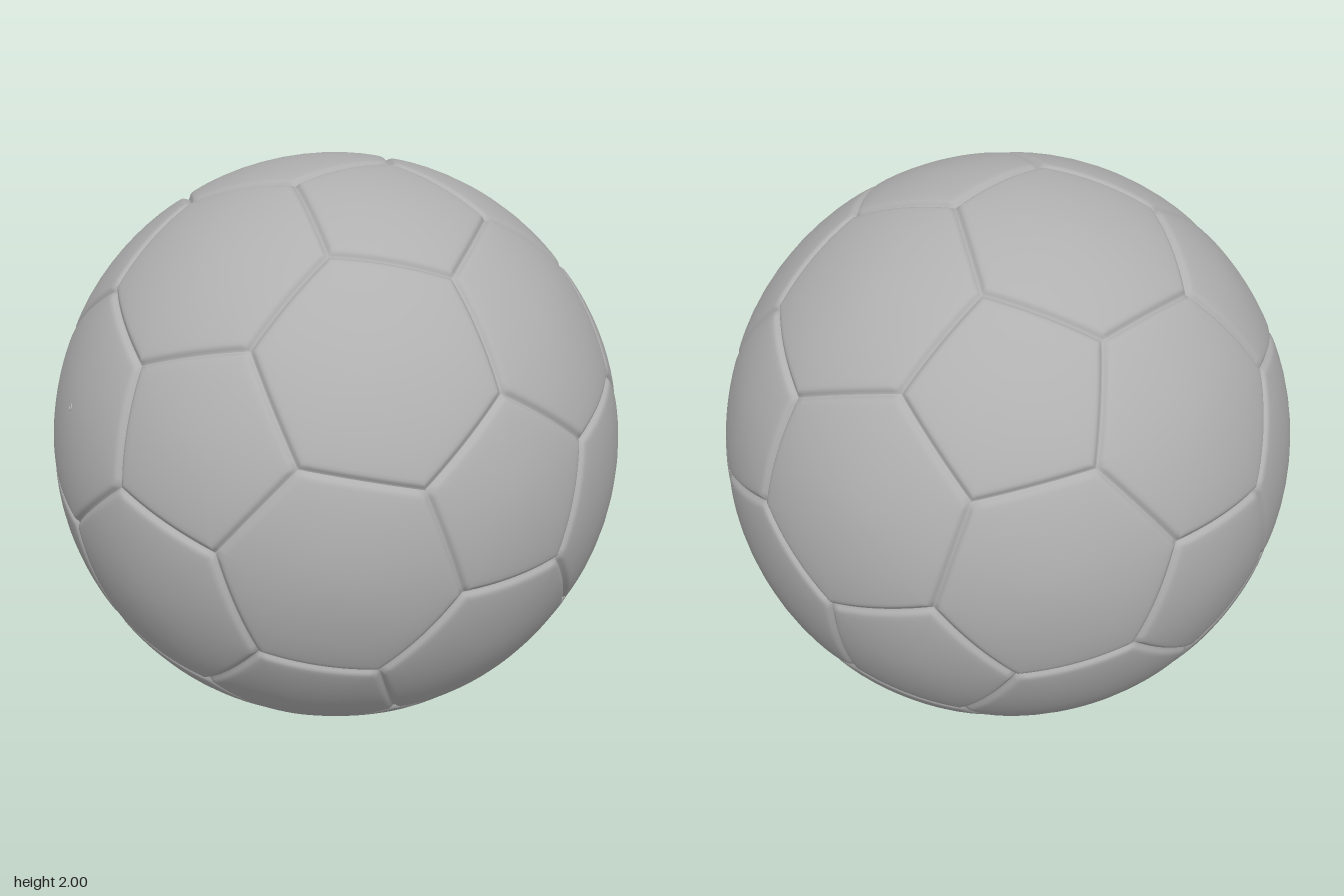
import * as THREE from 'three';

const V = (x, y, z) => new THREE.Vector3(x, y, z);

// Twelve pentagon centres: an icosahedron tilted to the ball's resting pose.
function pentagonCentres() {
  const top = V(0.257, 0.95, 0.19).normalize();
  const front = V(-0.189, 0.343, 0.92), side = V(0.841, 0.325, -0.432);
  const e2 = front.sub(side).projectOnPlane(top).normalize();
  const e1 = top.clone().cross(e2);
  const points = [top];
  for (let k = 0; k < 5; k++) {
    const a = k * Math.PI * 0.4;
    points.push(top.clone().addScaledVector(e1, 2 * Math.cos(a))
      .addScaledVector(e2, 2 * Math.sin(a)).normalize());
  }
  return points.concat(points.map((p) => p.clone().negate()));
}

// Distance from 1 at the panel's middle down into the stitched seam.
const seamRadius = (s) =>
  1 - 0.004 * Math.exp(-s / 0.06) - 0.014 * Math.exp(-((s / 0.012) ** 2));

// One puffed panel: rings running from its centre out to its edges.
function panelGeometry(centre, corners) {
  const n = centre.clone().normalize();
  const u = corners[0].clone().projectOnPlane(n).normalize();
  const w = n.clone().cross(u);
  const angle = (p) => Math.atan2(p.dot(w), p.dot(u));
  const ring = [...corners].sort((a, b) => angle(a) - angle(b));
  const next = (i) => ring[(i + 1) % ring.length];
  const edges = ring.map((p, i) => p.clone().cross(next(i)).normalize());

  const perEdge = 16;
  const border = ring.flatMap((p, i) => Array.from({ length: perEdge },
    (_, j) => p.clone().lerp(next(i), j / perEdge).normalize()));
  const gaps = [0.8, 0.6, 0.4, 0.25, 0.15, 0.09, 0.06, 0.04, 0.025, 0.012, 0];

  const position = [...n.toArray()], index = [];
  const count = border.length;
  gaps.forEach((gap, r) => border.forEach((b, i) => {
    const d = b.clone().lerp(n, gap).normalize();
    const s = Math.max(0, Math.min(...edges.map((e) => e.dot(d))));
    position.push(...d.multiplyScalar(seamRadius(s)).toArray());
    const j = (i + 1) % count, o = 1 + r * count, q = o - count;
    if (r === 0) index.push(0, o + i, o + j);
    else index.push(q + i, o + i, o + j, q + i, o + j, q + j);
  }));
  const g = new THREE.BufferGeometry();
  g.setAttribute('position', new THREE.Float32BufferAttribute(position, 3));
  g.setIndex(index);
  g.computeVertexNormals();
  return g;
}

export function createModel() {
  const grey = new THREE.MeshStandardMaterial({ color: 0xb0b0b0 });
  grey.name = 'grey leather';
  const ball = new THREE.Group();
  ball.name = 'football';
  const add = (name, geometry) => {
    const mesh = new THREE.Mesh(geometry, grey);
    mesh.name = name;
    ball.add(mesh);
    return mesh;
  };

  const ico = pentagonCentres();
  const near = (a, b) => a !== b && a.dot(b) > 0.3;
  // Panel corner a third of the way from one pentagon centre to another
  const corner = (a, b) => a.clone().multiplyScalar(2).add(b).normalize();

  // Pentagon panels
  for (const a of ico) {
    add('pentagonPanel', panelGeometry(a, ico.filter((b) => near(a, b)).map((b) => corner(a, b))));
  }

  // Hexagon panels, one for each trio of neighbouring pentagons
  ico.forEach((a, i) => ico.forEach((b, j) => ico.forEach((c, k) => {
    if (!(i < j && j < k && near(a, b) && near(b, c) && near(a, c))) return;
    const corners = [[a, b], [b, a], [b, c], [c, b], [c, a], [a, c]].map(([p, q]) => corner(p, q));
    add('hexagonPanel', panelGeometry(a.clone().add(b).add(c), corners));
  })));

  // Small air valve rim
  const out = V(-0.74, 0.275, 0.614).normalize();
  const valve = add('valve', new THREE.TorusGeometry(0.009, 0.003, 8, 20));
  valve.position.copy(out);
  valve.quaternion.setFromUnitVectors(V(0, 0, 1), out);

  ball.position.y = 0.997;
  const model = new THREE.Group();
  model.name = 'ball';
  model.add(ball);
  return model;
}
